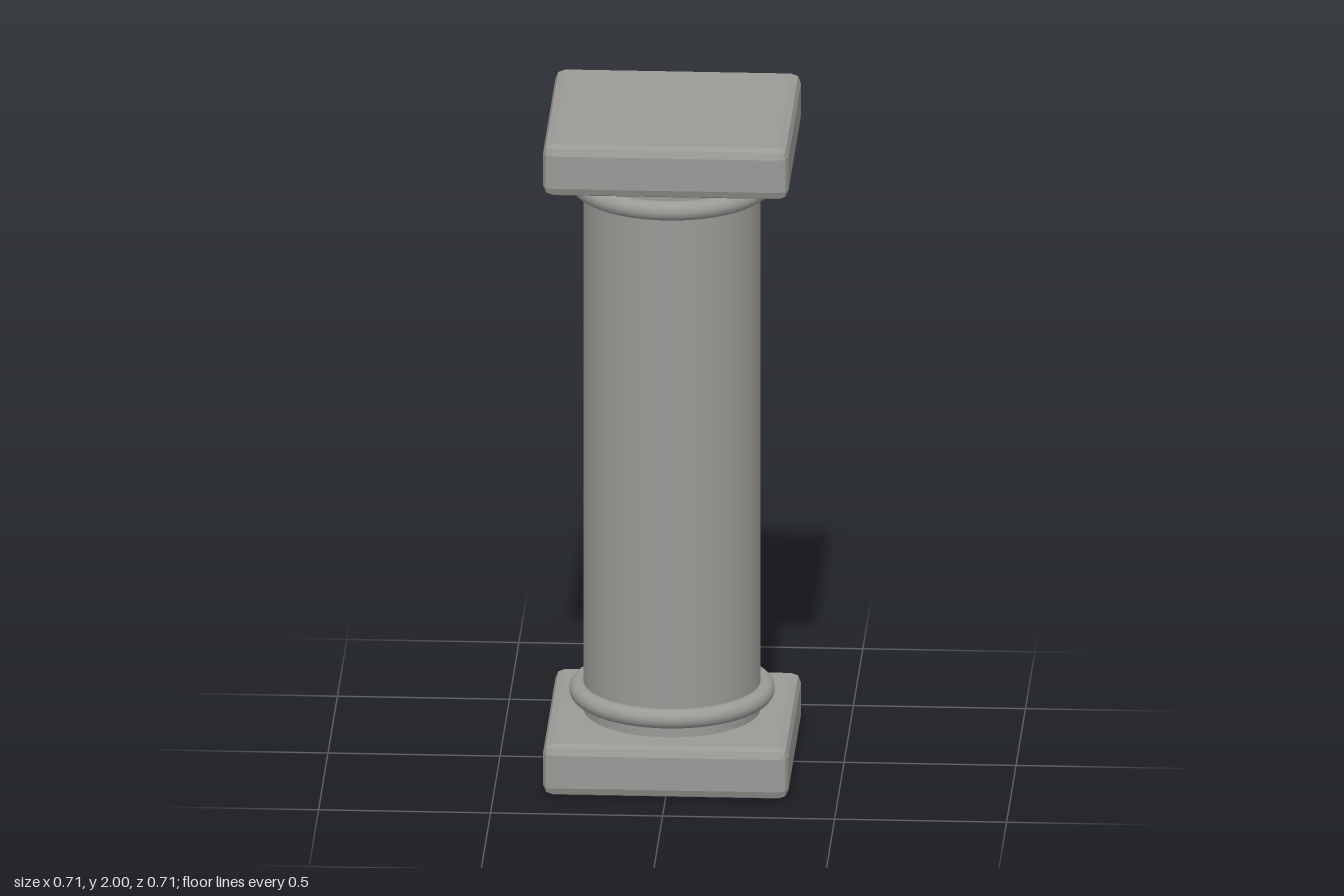
import * as THREE from 'three';
import { RoundedBoxGeometry } from 'three/addons/geometries/RoundedBoxGeometry.js';

const HEIGHT = 2;
const SLAB_WIDTH = 0.714;
const SLAB_HEIGHT = 0.157;
const SHAFT_RADIUS = 0.257;
const RING_OFFSET = 0.219; // ring centre to the nearer end of the column

export function createModel() {
  const column = new THREE.Group();
  column.name = 'column';

  const stone = new THREE.MeshStandardMaterial({ color: 0x9b9a97 });
  stone.name = 'grey stone';

  function addPart(name, geometry, y) {
    const mesh = new THREE.Mesh(geometry, stone);
    mesh.name = name;
    mesh.position.y = y;
    column.add(mesh);
  }

  // Square slab with faceted, bevelled edges
  const slab = new RoundedBoxGeometry(SLAB_WIDTH, SLAB_HEIGHT, SLAB_WIDTH, 1, 0.0286);
  slab.computeVertexNormals();
  addPart('baseSlab', slab, SLAB_HEIGHT / 2);
  addPart('topSlab', slab, HEIGHT - SLAB_HEIGHT / 2);

  // Round shaft running between the slabs
  const shaftHeight = HEIGHT - 2 * SLAB_HEIGHT;
  addPart('shaft', new THREE.CylinderGeometry(SHAFT_RADIUS, SHAFT_RADIUS, shaftHeight, 48), HEIGHT / 2);

  // Moulding rings near both ends of the shaft
  const ring = new THREE.TorusGeometry(0.27, 0.0286, 16, 48).rotateX(Math.PI / 2);
  addPart('lowerRing', ring, RING_OFFSET);
  addPart('upperRing', ring, HEIGHT - RING_OFFSET);

  return column;
}
